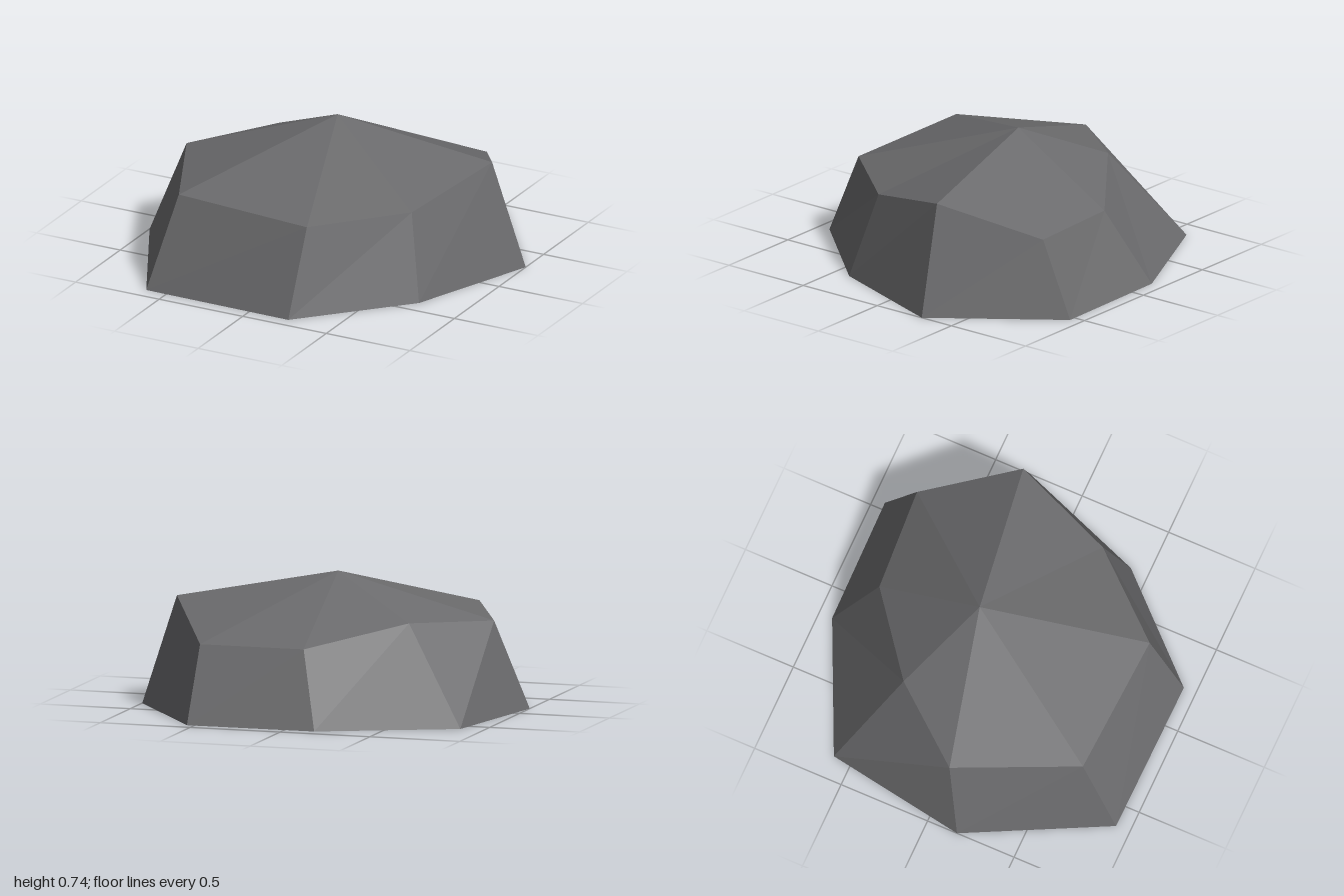
import * as THREE from 'three';

// Faceted boulder: open ground ring, shoulder ring and one peak.
export function createModel() {
  const group = new THREE.Group();
  group.name = 'rock';
  const stone = new THREE.MeshStandardMaterial({ color: 0x6a6a6c, side: THREE.DoubleSide, flatShading: true });
  stone.name = 'stone grey';

  // Rings run counterclockwise seen from above
  const ground = [
    [-1, 0, 0.17], [-0.62, 0, 0.92], [0.235, 0, 0.93], [0.735, 0, 0.4],
    [1, 0, -0.3], [0.54, 0, -0.935], [-0.165, 0, -0.925], [-0.87, 0, -0.6],
  ];
  const shoulder = [
    [-0.84, 0.48, 0.055], [-0.545, 0.478, 0.695], [0.24, 0.457, 0.73], [0.63, 0.455, 0.285],
    [0.82, 0.58, -0.26], [0.53, 0.405, -0.745], [-0.035, 0.4, -0.71], [-0.505, 0.51, -0.36],
  ];
  const peak = [-0.035, 0.735, -0.13];

  const makeMesh = (name, corners) => {
    const geometry = new THREE.BufferGeometry();
    geometry.setAttribute('position', new THREE.Float32BufferAttribute(corners.flat(), 3));
    geometry.computeVertexNormals();
    const mesh = new THREE.Mesh(geometry, stone);
    mesh.name = name;
    group.add(mesh);
  };

  // Sloping sides between the rings, and facets rising to the peak
  const sides = [], crown = [];
  ground.forEach((a, i) => {
    const j = (i + 1) % ground.length;
    sides.push(a, ground[j], shoulder[j], a, shoulder[j], shoulder[i]);
    crown.push(shoulder[i], shoulder[j], peak);
  });
  makeMesh('rockSides', sides);
  makeMesh('rockCrown', crown);
  return group;
}
